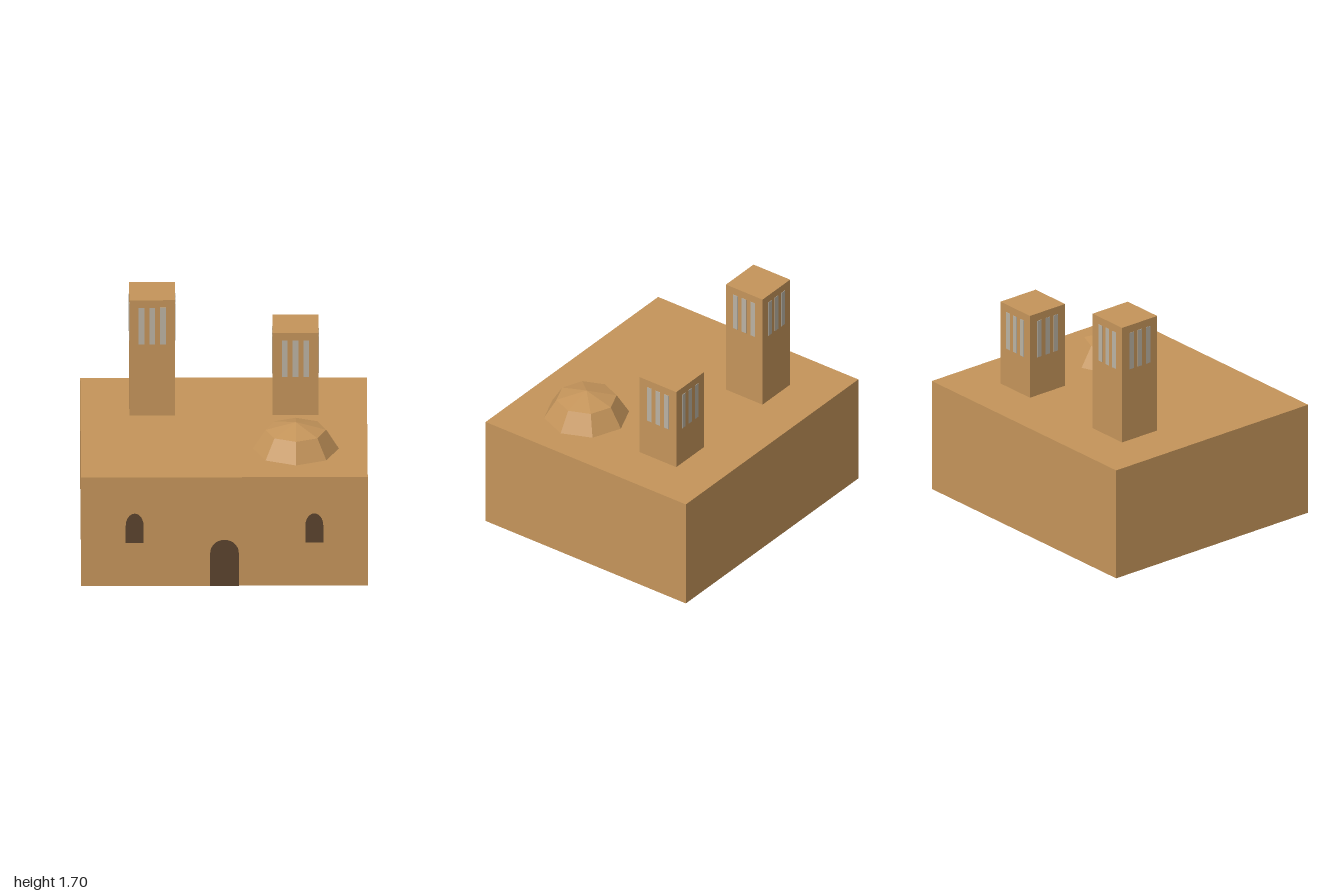
import * as THREE from 'three';

const clay = new THREE.MeshStandardMaterial({ color: 0xc4945a, side: THREE.DoubleSide, flatShading: true });
clay.name = 'clay';
const darkOpening = new THREE.MeshStandardMaterial({ color: 0x5a432d });
darkOpening.name = 'darkOpening';
const paleGrey = new THREE.MeshStandardMaterial({ color: 0xbab2a3 });
paleGrey.name = 'paleGrey';

const ROOF = 0.825, DEPTH = 1.75, TOWER = 0.32;

function addMesh(parent, name, geometry, material, x = 0, y = 0, z = 0) {
  const mesh = new THREE.Mesh(geometry, material);
  mesh.name = name;
  mesh.position.set(x, y, z);
  parent.add(mesh);
  return mesh;
}

// Box standing on y = 0 without its underside
function openBox(w, h, d) {
  const g = new THREE.BoxGeometry(w, h, d).translate(0, h / 2, 0);
  const index = Array.from(g.index.array);
  index.splice(18, 6);
  g.setIndex(index);
  g.clearGroups();
  return g;
}

// Thin plate with straight sides and a faceted arched top
function archPlate(halfWidth, spring, rise) {
  const shape = new THREE.Shape();
  shape.moveTo(-halfWidth, 0);
  shape.lineTo(halfWidth, 0);
  const steps = 10;
  for (let i = 0; i <= steps; i++) {
    const a = (Math.PI * i) / steps;
    shape.lineTo(halfWidth * Math.cos(a), spring + rise * Math.sin(a));
  }
  return new THREE.ExtrudeGeometry(shape, { depth: 0.004, bevelEnabled: false });
}

// Square tower with three tall slits on each side
function makeTower(name, x, top) {
  const tower = new THREE.Group();
  tower.name = name;
  tower.position.set(x, ROOF, -0.375);
  addMesh(tower, 'towerShaft', openBox(TOWER, top - ROOF, TOWER), clay);
  const slit = new THREE.BoxGeometry(0.039, 0.278, 0.006);
  for (let side = 0; side < 4; side++) {
    const face = new THREE.Group();
    face.name = 'towerSlits';
    face.rotation.y = (side * Math.PI) / 2;
    for (const offset of [-0.075, 0, 0.075])
      addMesh(face, 'slit', slit, paleGrey, offset, top - ROOF - 0.196, TOWER / 2);
    tower.add(face);
  }
  return tower;
}

export function createModel() {
  const model = new THREE.Group();
  model.name = 'clayBuilding';

  // Main block, hollow from below
  addMesh(model, 'mainBlock', openBox(2, ROOF, DEPTH), clay);

  // Door and the two arched windows
  const front = DEPTH / 2;
  addMesh(model, 'door', archPlate(0.1, 0.25, 0.1), darkOpening, 0, 0, front);
  for (const side of [-1, 1])
    addMesh(model, 'archedWindow', archPlate(0.0625, 0.13, 0.092), darkOpening, side * 0.627, 0.328, front);

  // Towers
  model.add(makeTower('rightTower', -0.5, 1.7));
  model.add(makeTower('leftTower', 0.5, 1.45));

  // Eight-sided low dome
  const dome = new THREE.SphereGeometry(0.3, 8, 2, 0, Math.PI * 2, 0, Math.PI / 2).scale(1, 2 / 3, 1);
  addMesh(model, 'dome', dome, clay, 0.5, ROOF, 0.37);

  return model;
}
